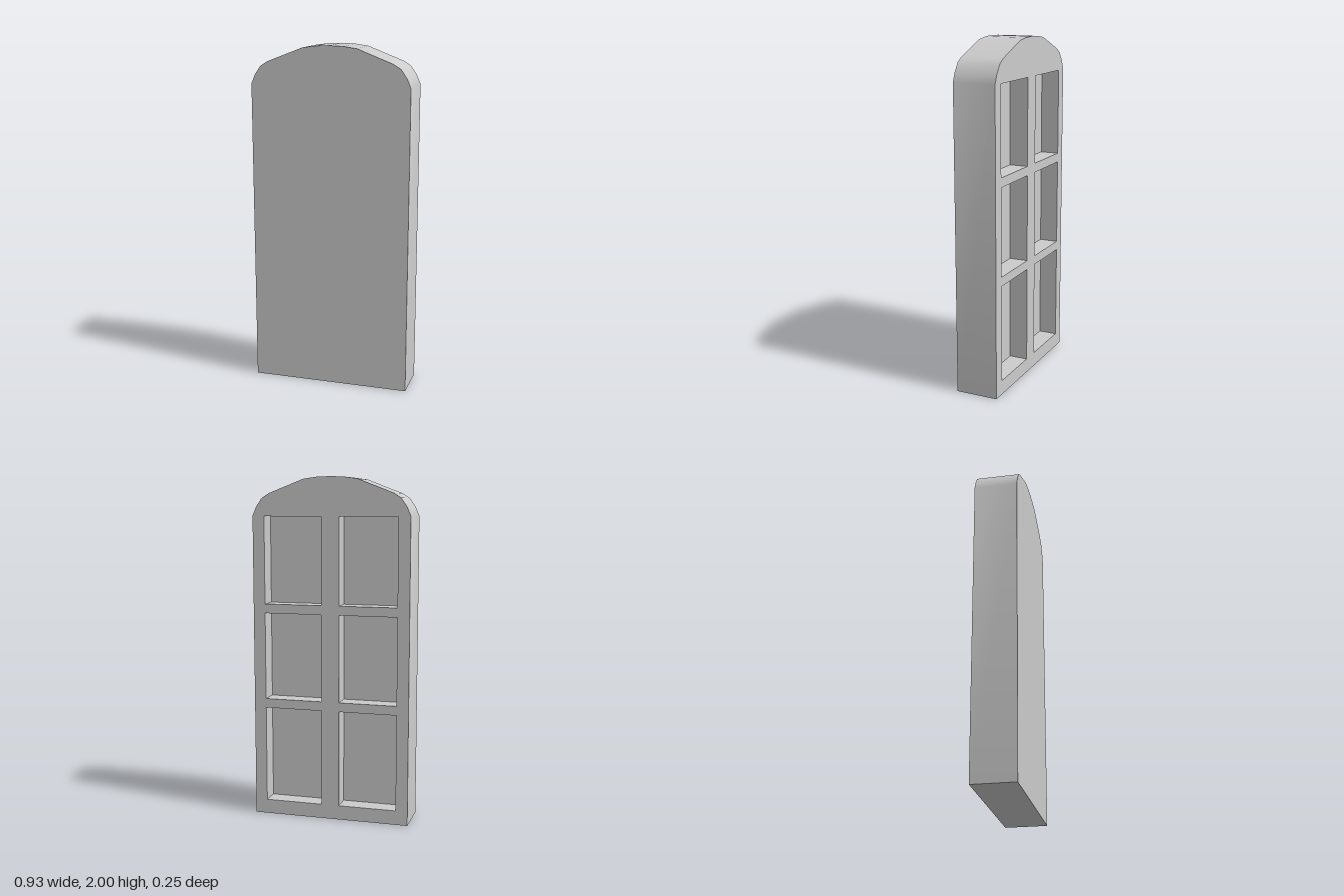
import * as THREE from 'three';
import { mergeGeometries, toCreasedNormals } from 'three/addons/utils/BufferGeometryUtils.js';

const FRONT = 0.125, BACK = -0.125, FLOOR = -0.015;

// Right half of the arched top, from the shoulder to the crown
const ARCH = [[0.465, 1.778], [0.443, 1.83], [0.408, 1.88], [0.364, 1.907], [0.158, 1.986], [0.08, 1.997]];

// Pocket grid on the back: [bottom, top] of each row, [inner, outer] of each column
const ROWS = [[0.084, 0.651], [0.705, 1.215], [1.269, 1.776]];
const COLUMN = [0.053, 0.395];

function outline() {
  const mirrored = ARCH.map(([x, y]) => [-x, y]).reverse();
  const points = [[-0.465, 0], [0.465, 0], ...ARCH, [0, 2], ...mirrored];
  return new THREE.Shape(points.map(([x, y]) => new THREE.Vector2(x, y)));
}

function pockets() {
  const list = [];
  for (const side of [-1, 1]) {
    for (const [y0, y1] of ROWS) {
      const xs = COLUMN.map((x) => x * side).sort((a, b) => a - b);
      list.push({ x0: xs[0], x1: xs[1], y0, y1 });
    }
  }
  return list;
}

// Outer walls, back face and pocket walls: a pierced extrusion without its front cap
function shell(cells) {
  const shape = outline();
  for (const { x0, x1, y0, y1 } of cells) {
    shape.holes.push(new THREE.Path([
      new THREE.Vector2(x0, y0), new THREE.Vector2(x0, y1),
      new THREE.Vector2(x1, y1), new THREE.Vector2(x1, y0),
    ]));
  }
  const solid = new THREE.ExtrudeGeometry(shape, { depth: FRONT - BACK, bevelEnabled: false });
  solid.translate(0, 0, BACK);
  const p = solid.attributes.position;
  const kept = [];
  for (let i = 0; i < p.count; i += 3) {
    const corners = [i, i + 1, i + 2].map((k) => new THREE.Vector3().fromBufferAttribute(p, k));
    if (corners.every((c) => c.z > FRONT - 0.001)) continue;
    for (const c of corners) {
      // Pocket walls stop at the pocket floor
      const inPocket = Math.abs(c.x) < 0.4 && c.y > 0.01 && c.y < 1.78;
      if (inPocket && c.z > 0) c.z = FLOOR;
      kept.push(c);
    }
  }
  return new THREE.BufferGeometry().setFromPoints(kept);
}

// Strip a flat geometry to bare triangles so it can be merged
function bare(geometry) {
  const g = geometry.toNonIndexed();
  g.deleteAttribute('uv');
  g.deleteAttribute('normal');
  return g;
}

export function createModel() {
  const group = new THREE.Group();
  group.name = 'archedPanel';
  const cells = pockets();

  const frontFace = bare(new THREE.ShapeGeometry(outline())).translate(0, 0, FRONT);
  const floors = cells.map(({ x0, x1, y0, y1 }) =>
    bare(new THREE.PlaneGeometry(x1 - x0, y1 - y0).rotateY(Math.PI))
      .translate((x0 + x1) / 2, (y0 + y1) / 2, FLOOR));

  const body = toCreasedNormals(mergeGeometries([shell(cells), frontFace, ...floors]), 0.6);
  const mesh = new THREE.Mesh(body, new THREE.MeshStandardMaterial({ color: 0xcccccc }));
  mesh.name = 'panelWithBackPockets';
  group.add(mesh);
  return group;
}
